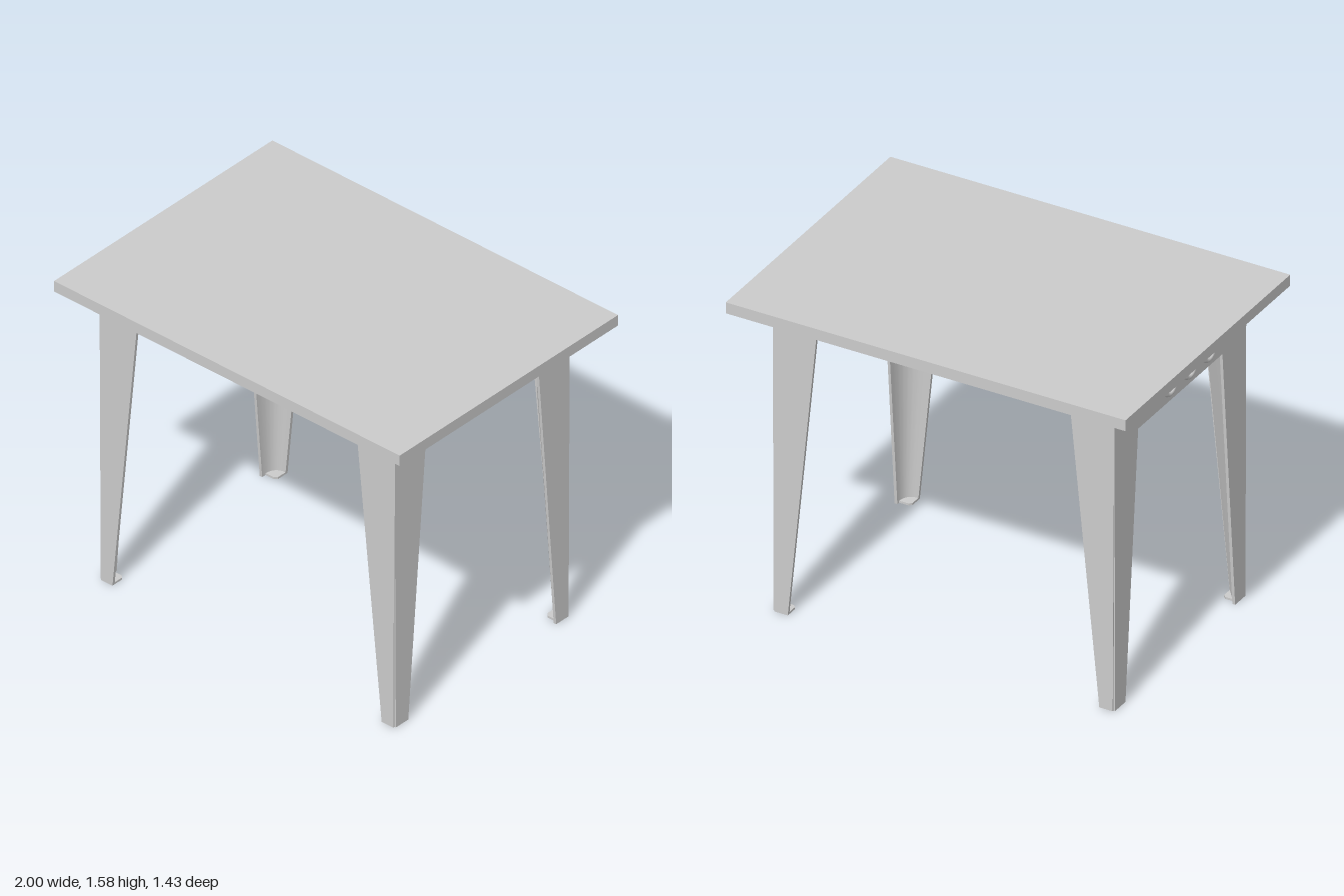
import * as THREE from 'three';
import { RoundedBoxGeometry } from 'three/addons/geometries/RoundedBoxGeometry.js';

const mat = new THREE.MeshStandardMaterial({ color: 0xcccccc, side: THREE.DoubleSide });
const T = 0.014; // sheet thickness
const RIM = 1.527; // lower edge of the table top's rim
const TOP = 1.56; // recessed underside of the table top
const X0 = -0.862, X1 = 0.846, Z = 0.572; // outer faces of the frame

function add(parent, name, geometry, x = 0, y = 0, z = 0) {
  const mesh = new THREE.Mesh(geometry, mat);
  mesh.name = name;
  mesh.position.set(x, y, z);
  parent.add(mesh);
  return mesh;
}

const toVectors = (points) => points.map(([x, y]) => new THREE.Vector2(x, y));
const rectangle = (w, h) => toVectors([[-w, -h], [w, -h], [w, h], [-w, h]]);

function extrude(points, depth, hole) {
  const shape = new THREE.Shape(points);
  if (hole) shape.holes.push(new THREE.Path(hole));
  return new THREE.ExtrudeGeometry(shape, { depth, bevelEnabled: false });
}

// Folded sheet: an apron with a tapering leg half at each end, half = half width
function portal(half, footIn, kneeIn, apronY) {
  const foot = half - 0.008;
  return extrude(toVectors([
    [-foot, 0], [-footIn, 0], [-kneeIn, apronY], [kneeIn, apronY],
    [footIn, 0], [foot, 0], [half, TOP], [-half, TOP],
  ]), T);
}

// Web across the inside of a leg, from flange edge to flange edge.
// bend 0 is flat, bend 1 curves into the corner.
function legWeb(sx, sz, bend) {
  const steps = 8, positions = [], index = [];
  const corner = new THREE.Vector2(sx < 0 ? X0 + T : X1 - T, sz * (Z - T));
  for (const [y, reachX, reachZ] of [[0, 0.06, 0.075], [1.3, 0.185, 0.185]]) {
    const a = new THREE.Vector2(corner.x - sx * reachX, corner.y);
    const b = new THREE.Vector2(corner.x, corner.y - sz * reachZ);
    const control = a.clone().lerp(b, 0.5).lerp(corner, bend);
    for (const p of new THREE.QuadraticBezierCurve(a, control, b).getPoints(steps)) {
      positions.push(p.x, y, p.y);
    }
  }
  for (let i = 0; i < steps; i++) {
    const j = i + steps + 1;
    if (sx * sz < 0) index.push(i, i + 1, j, i + 1, j + 1, j);
    else index.push(i, j, i + 1, i + 1, j, j + 1);
  }
  const geometry = new THREE.BufferGeometry();
  geometry.setAttribute('position', new THREE.Float32BufferAttribute(positions, 3));
  geometry.setIndex(index);
  geometry.computeVertexNormals();
  return geometry;
}

export function createModel() {
  const table = new THREE.Group();
  table.name = 'table';
  const cx = (X0 + X1) / 2, half = (X1 - X0) / 2;

  // Table top: a thin slab with a rim folded down around it
  add(table, 'tableTop', new THREE.BoxGeometry(2, 0.022, 1.426), 0, TOP + 0.011, 0);
  const rim = add(table, 'tableRim',
    extrude(rectangle(1, 0.713), TOP - RIM, rectangle(0.975, 0.688)), 0, RIM, 0);
  rim.rotation.x = -Math.PI / 2;

  // Long front and back frames
  const longFrame = portal(half, half - 0.075, half - 0.222, 1.48);
  add(table, 'frontFrame', longFrame, cx, 0, Z - T);
  add(table, 'backFrame', longFrame, cx, 0, -Z);

  // Short side frames; the right one has a deeper apron
  const left = add(table, 'leftFrame', portal(Z, 0.483, 0.362, 1.48), X1 - T, 0, 0);
  left.rotation.y = Math.PI / 2;
  const right = add(table, 'rightFrame', portal(Z, 0.475, 0.365, 1.32), X0, 0, 0);
  right.rotation.y = Math.PI / 2;

  // Inner webs and foot plates of the four legs
  for (const sx of [-1, 1]) {
    for (const sz of [-1, 1]) {
      add(table, 'legWeb', legWeb(sx, sz, sx < 0 && sz > 0 ? 0 : 1));
      const points = [[0, 0], [0.063, 0], [0.063, 0.05], [0.05, 0.063], [0, 0.063]]
        .map(([a, b]) => [-sx * a, sz * b]);
      const foot = add(table, 'foot', extrude(toVectors(points), 0.01),
        sx < 0 ? X0 + 0.012 : X1 - 0.012, 0, sz * (Z - 0.012));
      foot.rotation.x = -Math.PI / 2;
    }
  }

  // Stiffening beam under the top
  add(table, 'underBeam', new RoundedBoxGeometry(1.47, 0.07, 0.12, 2, 0.015), 0.05, TOP - 0.025, -0.075);

  // Socket box inside the right apron, with round sockets outside
  add(table, 'socketBox', new RoundedBoxGeometry(0.08, 0.135, 0.665, 2, 0.006), X0 + 0.05, 1.405, -0.005);
  for (const z of [-0.1, 0.07, 0.235]) {
    const socket = new THREE.Group();
    socket.name = 'socket';
    socket.position.set(X0, 1.407, z);
    socket.rotation.y = -Math.PI / 2;
    add(socket, 'socketRim', new THREE.TorusGeometry(0.045, 0.012, 8, 24), 0, 0, 0.006);
    add(socket, 'socketFace', new THREE.CircleGeometry(0.04, 24), 0, 0, 0.002);
    table.add(socket);
  }
  return table;
}
